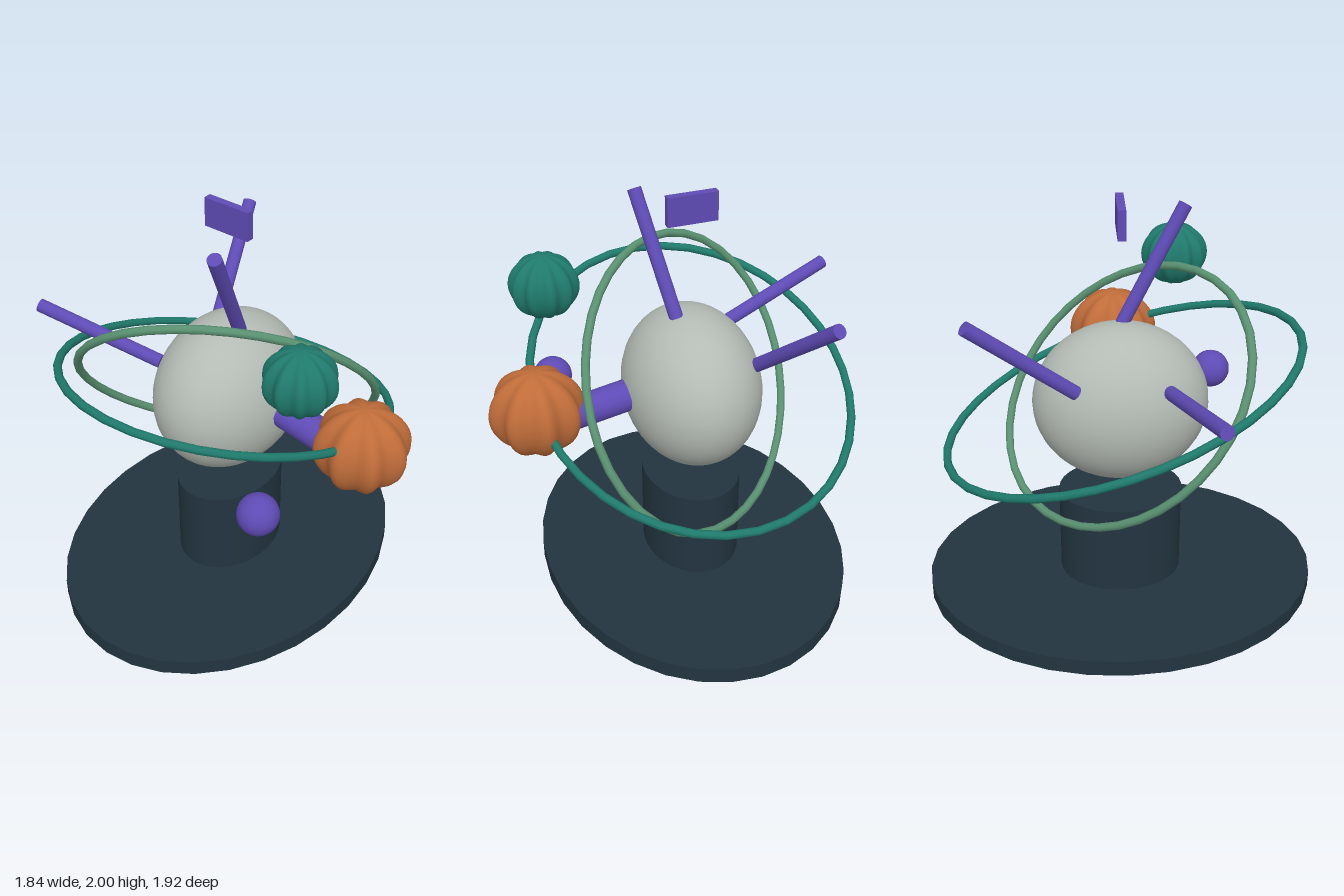
import * as THREE from 'three';

const mat = (name, color) => {
  const m = new THREE.MeshStandardMaterial({ color });
  m.name = name;
  return m;
};

// Closed elliptical orbit, each axis a cosine with its own size and phase (degrees)
class Orbit extends THREE.Curve {
  constructor(center, size, phase) {
    super();
    Object.assign(this, { center, size, phase });
  }
  getPoint(t, target = new THREE.Vector3()) {
    const at = (i) => this.center[i] + this.size[i] * Math.cos(t * Math.PI * 2 + THREE.MathUtils.degToRad(this.phase[i]));
    return target.set(at(0), at(1), at(2));
  }
}

// Sphere with vertical pumpkin-like lobes
function lobedSphere(radius, lobes, depth) {
  const g = new THREE.SphereGeometry(radius, lobes * 8, 24);
  const p = g.attributes.position;
  for (let i = 0; i < p.count; i++) {
    const x = p.getX(i), z = p.getZ(i);
    const k = 1 + depth * Math.cos(lobes * Math.atan2(x, z));
    p.setX(i, x * k);
    p.setZ(i, z * k);
  }
  // Sphere seam keeps its own vertices; both sides get the same normal
  g.computeVertexNormals();
  const n = g.attributes.normal, w = lobes * 8, v = new THREE.Vector3();
  for (let r = 0; r <= 24; r++) {
    const a = r * (w + 1), b = a + w;
    v.set(n.getX(a) + n.getX(b), n.getY(a) + n.getY(b), n.getZ(a) + n.getZ(b)).normalize();
    n.setXYZ(a, v.x, v.y, v.z);
    n.setXYZ(b, v.x, v.y, v.z);
  }
  return g;
}

export function createModel() {
  const slate = mat('slate', 0x22343f);
  const stone = mat('pale stone', 0xb4bbb4);
  const purple = mat('purple', 0x5e4bb5);
  const orange = mat('orange', 0xbf6c39);
  const teal = mat('teal', 0x1f7a6c);
  const green = mat('sage green', 0x5a9272);

  const model = new THREE.Group();
  model.name = 'orbitSculpture';
  const CX = -0.055;

  function add(name, geometry, material, position = [0, 0, 0], scale = [1, 1, 1]) {
    const mesh = new THREE.Mesh(geometry, material);
    mesh.name = name;
    mesh.position.set(...position);
    mesh.scale.set(...scale);
    model.add(mesh);
    return mesh;
  }

  // Round rod between two points
  function rod(name, from, to, radius) {
    const a = new THREE.Vector3(...from), b = new THREE.Vector3(...to);
    const dir = b.clone().sub(a);
    const mesh = add(name, new THREE.CylinderGeometry(radius, radius, dir.length(), 16), purple);
    mesh.position.copy(a).add(b).multiplyScalar(0.5);
    mesh.quaternion.setFromUnitVectors(new THREE.Vector3(0, 1, 0), dir.normalize());
  }

  // Oval base and pedestal
  add('base', new THREE.CylinderGeometry(0.96, 0.96, 0.082, 32), slate, [CX, 0.041, 0], [0.784, 1, 1]);
  add('pedestal', new THREE.CylinderGeometry(0.3, 0.3, 0.465, 32), slate, [CX, 0.3125, 0], [0.784, 1, 1]);

  // Central egg-shaped core
  add('core', new THREE.SphereGeometry(1, 40, 28), stone, [CX, 1.026, 0], [0.325, 0.386, 0.415]);

  // Two tilted orbit rings
  const ring = (name, material, center, size, phase) =>
    add(name, new THREE.TubeGeometry(new Orbit(center, size, phase), 36, 0.02, 8, true), material);
  ring('tealRing', teal, [CX, 1.063, 0], [0.75, 0.288, 0.83], [0, -90, -90]);
  ring('greenRing', green, [CX, 1.052, 0], [0.58, 0.558, 0.55], [0, 78.5, 124]);

  // Rods radiating from the core
  rod('sideArm', [0.262, 1.033, 0], [0.65, 0.967, 0], 0.077);
  rod('frontSpoke', [-0.295, 1.187, 0.212], [-0.907, 1.34, 0.377], 0.033);
  rod('backSpoke', [-0.298, 1.2, -0.21], [-0.455, 1.605, -0.67], 0.033);
  rod('topSpoke', [0.013, 1.39, 0.01], [0.11, 1.925, 0.3], 0.033);

  // Floating plate above
  add('topPlate', new THREE.BoxGeometry(0.235, 0.137, 0.037), purple, [CX, 1.9315, 0]);

  // Satellites
  add('orangeSatellite', lobedSphere(0.206, 8, 0.085), orange, [0.695, 1.047, 0]);
  add('tealSatellite', lobedSphere(0.152, 10, 0.08), teal, [0.554, 1.517, 0.3]);
  add('purpleSatellite', new THREE.SphereGeometry(0.096, 24, 16), purple, [0.499, 0.89, 0.5]);

  return model;
}
